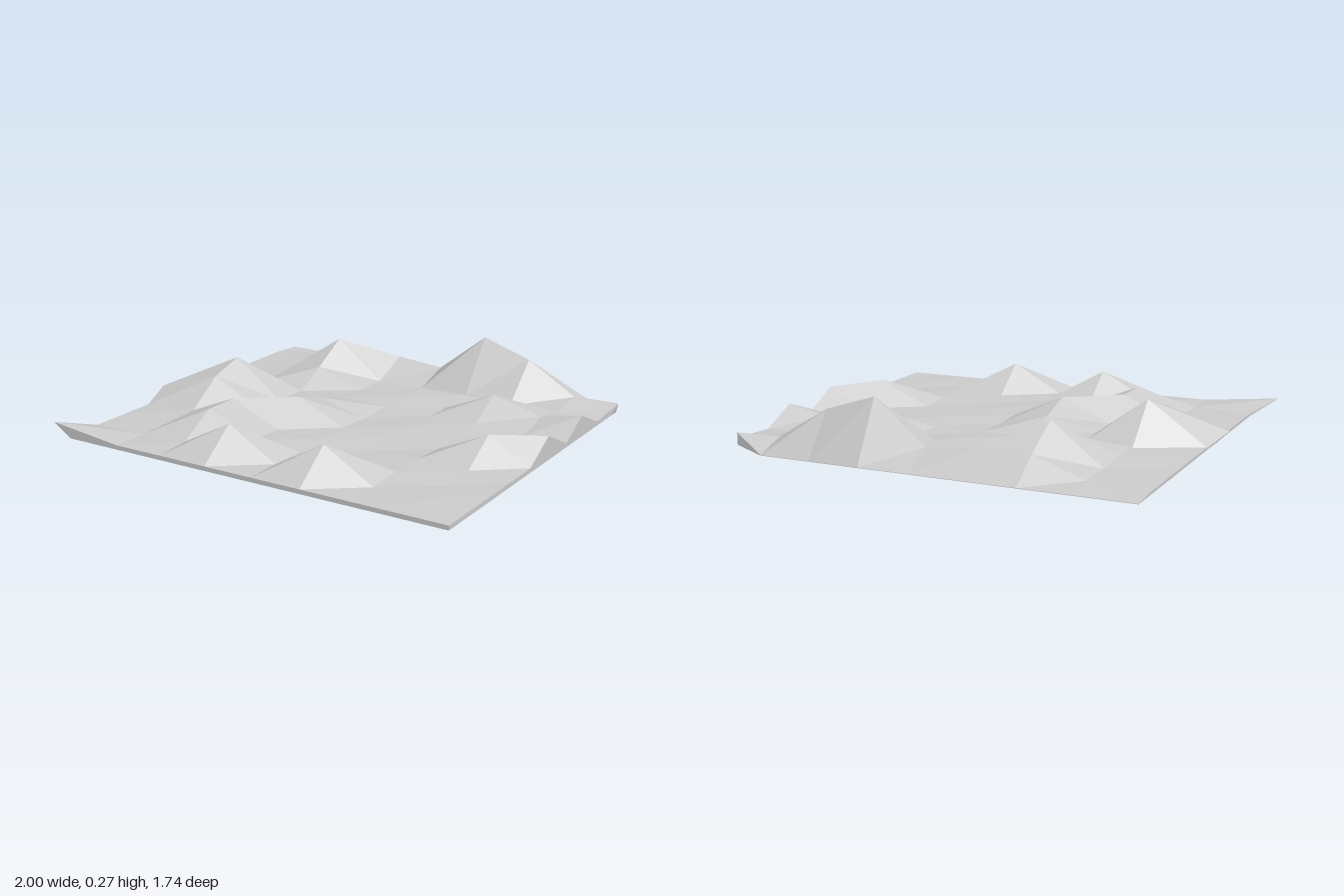
import * as THREE from 'three';

// Grid lines of the terrain
const XS = [-0.905, -0.635, -0.4, -0.16, 0.075, 0.315, 0.55, 0.79, 0.985];
const ZS = [-0.87, -0.72, -0.53, -0.35, -0.19, 0, 0.17, 0.345, 0.52, 0.695, 0.87];
const NX = XS.length - 1, NZ = ZS.length - 1;

// Hills as [column, row, height]; everything else is nearly flat
const HILLS = [
  [2, 1, 0.1], [3, 1, 0.1], [4, 1, 0.08], [5, 1, 0.27], [6, 1, 0.195], [7, 1, 0.05],
  [2, 2, 0.2], [2, 3, 0.1], [6, 3, 0.12], [7, 3, 0.06], [8, 3, 0.1],
  [1, 5, 0.2], [3, 5, 0.08], [8, 5, 0.11],
  [1, 6, 0.15], [3, 6, 0.13], [7, 6, 0.13],
  [2, 7, 0.13], [2, 8, 0.13],
  [3, 9, 0.155], [5, 9, 0.155],
];

// Rim points pulled out of the grid: [column, row, x, y, z]
const PULLED = [
  [0, 6, -0.955, 0.05, 0.17],
  [0, 10, -1, 0.06, 0.87],
  [8, 0, 1, 0.05, -0.74],
  [8, 1, 0.985, 0.03, -0.7],
];

function flatMesh(name, triangles) {
  const geometry = new THREE.BufferGeometry().setFromPoints(triangles);
  geometry.computeVertexNormals();
  const material = new THREE.MeshStandardMaterial({
    color: 0xcccccc, flatShading: true, side: THREE.DoubleSide,
  });
  const mesh = new THREE.Mesh(geometry, material);
  mesh.name = name;
  return mesh;
}

export function createModel() {
  const group = new THREE.Group();
  group.name = 'terrainTile';

  // Ground points: gentle ripple, thin rim, flush back edge
  const points = ZS.map((z, j) => XS.map((x, i) => {
    let y = 0.025 + 0.006 * Math.sin(i * 2.3 + j * 1.7);
    if (i === 0) y = 0.012;
    if (i === NX || j === NZ) y = 0.02;
    if (j === 0) y = 0.002;
    return new THREE.Vector3(x, y, z);
  }));
  for (const [i, j, y] of HILLS) points[j][i].y = y;
  for (const [i, j, x, y, z] of PULLED) points[j][i].set(x, y, z);

  // Terrain surface
  const surface = [];
  for (let j = 0; j < NZ; j++) {
    for (let i = 0; i < NX; i++) {
      const a = points[j][i], b = points[j + 1][i];
      const c = points[j + 1][i + 1], d = points[j][i + 1];
      surface.push(a, b, d, b, c, d);
    }
  }
  group.add(flatMesh('terrain', surface));

  // Rim indices, walked anticlockwise as seen from above
  const rim = [];
  for (let j = 0; j < NZ; j++) rim.push([0, j]);
  for (let i = 0; i < NX; i++) rim.push([i, NZ]);
  for (let j = NZ; j > 0; j--) rim.push([NX, j]);
  for (let i = NX; i > 0; i--) rim.push([i, 0]);

  // Side walls down to the base, and the base with one clipped corner
  const foot = ([i, j]) => new THREE.Vector3(XS[i], 0, i === NX && j < 2 ? -0.76 + 0.06 * j : ZS[j]);
  const walls = [], base = [], centre = new THREE.Vector3();
  rim.forEach((p, k) => {
    const q = rim[(k + 1) % rim.length];
    const topP = points[p[1]][p[0]], topQ = points[q[1]][q[0]];
    const footP = foot(p), footQ = foot(q);
    walls.push(topP, footP, topQ, footP, footQ, topQ);
    base.push(centre, footQ, footP);
  });
  group.add(flatMesh('sideWalls', walls));
  group.add(flatMesh('base', base));
  return group;
}
